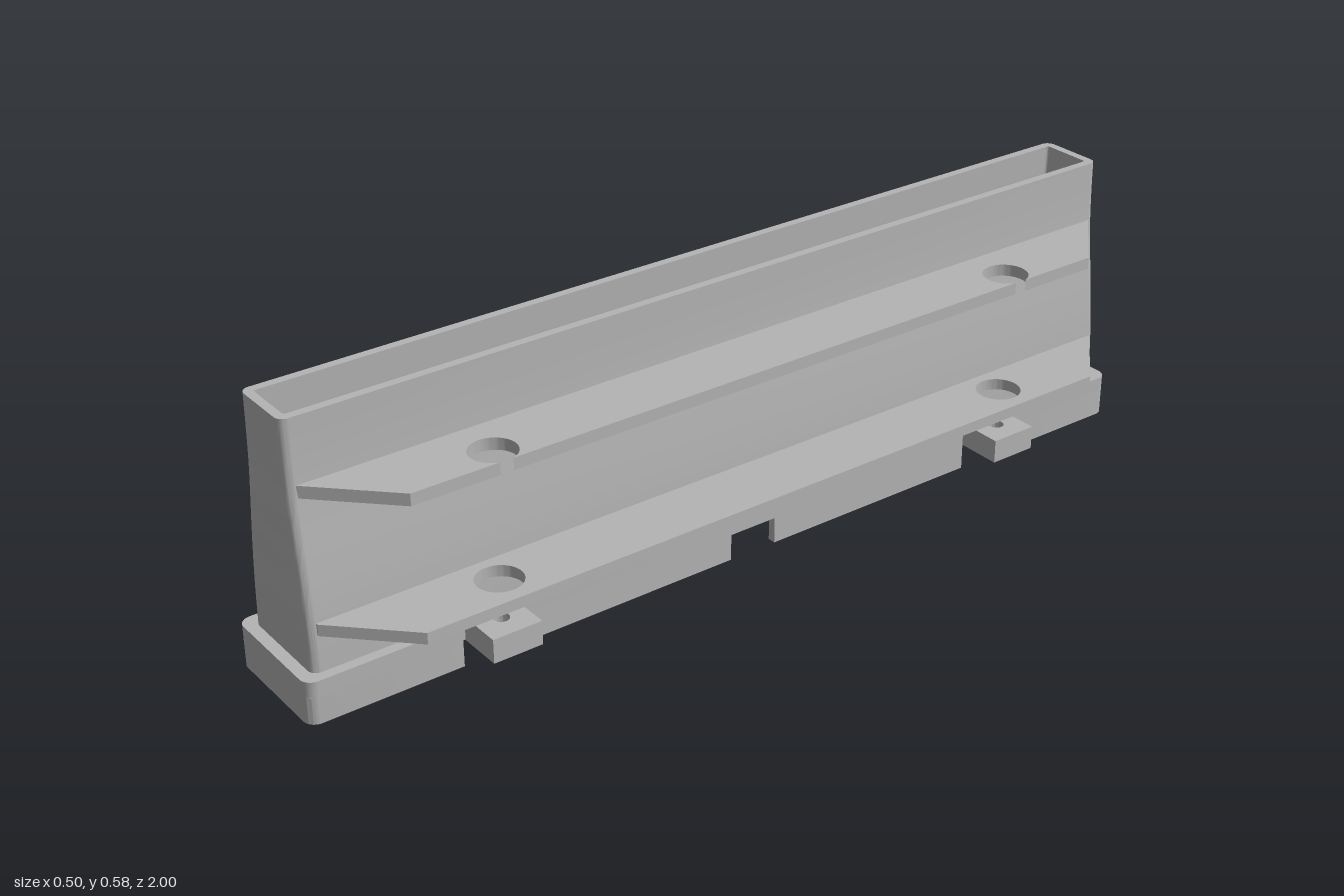
import * as THREE from 'three';
import { toCreasedNormals } from 'three/addons/utils/BufferGeometryUtils.js';

const NOTCH_TOP = 0.057, HOLE_X = 0.175, HOLE_Z = 0.62, HOLE_R = 0.047;

// Rounded rectangle in plan; short extra spans beside each corner keep the flats flat.
function ring(hx, hz, r, y) {
  const pts = [], n = 6, e = 0.001;
  const corners = [[1, 1, 0], [-1, 1, 1], [-1, -1, 2], [1, -1, 3]];
  for (const [sx, sz, q] of corners) {
    const cx = sx * (hx - r), cz = sz * (hz - r), a0 = q * Math.PI / 2, a1 = a0 + Math.PI / 2;
    const at = a => [cx + r * Math.cos(a), y, cz + r * Math.sin(a)];
    const s = at(a0), t = at(a1);
    pts.push([s[0] + e * Math.sin(a0), y, s[2] - e * Math.cos(a0)]);
    for (let i = 0; i <= n; i++) pts.push(at(a0 + (i / n) * Math.PI / 2));
    pts.push([t[0] - e * Math.sin(a1), y, t[2] + e * Math.cos(a1)]);
  }
  return pts;
}

// Skin a closed chain of rings.
function loft(rings) {
  const n = rings[0].length, index = [];
  rings.forEach((_, k) => {
    const a = k * n, b = ((k + 1) % rings.length) * n;
    for (let i = 0; i < n; i++) {
      const j = (i + 1) % n;
      index.push(a + i, b + i, a + j, a + j, b + i, b + j);
    }
  });
  const g = new THREE.BufferGeometry();
  g.setAttribute('position', new THREE.Float32BufferAttribute(rings.flat(2), 3));
  g.setIndex(index);
  return toCreasedNormals(g, 0.45);
}

// Extrude a plan outline upward from y0 to y1.
function slab(shape, y0, y1) {
  const g = new THREE.ExtrudeGeometry(shape, { depth: y1 - y0, bevelEnabled: false, curveSegments: 24 });
  g.rotateX(-Math.PI / 2).translate(0, y0, 0);
  return toCreasedNormals(g, 0.45);
}

function circleHole(x, y, r) {
  const p = new THREE.Path();
  p.absarc(x, y, r, 0, Math.PI * 2, true);
  return p;
}

// Side shelf with 45 degree ends; holes reaching past the edge become open notches.
function shelfShape(inner, outer, straight) {
  const end = 0.957, tip = outer - (end - straight), s = new THREE.Shape();
  const open = HOLE_X + HOLE_R > outer;
  s.moveTo(inner, -end).lineTo(tip, -end).lineTo(outer, -straight);
  for (const z of [-HOLE_Z, HOLE_Z]) {
    if (open) {
      const a = Math.acos((outer - HOLE_X) / HOLE_R);
      s.absarc(HOLE_X, z, HOLE_R, -a, a, true);
    } else s.holes.push(circleHole(HOLE_X, z, HOLE_R));
  }
  s.lineTo(outer, straight).lineTo(tip, end).lineTo(inner, end).closePath();
  return s;
}

// U-shaped plan of the foot wall at one end.
function footEndShape() {
  const s = new THREE.Shape(), z0 = 0.678, x = 0.132, r = 0.025, xi = 0.114, zi = 0.982, ri = 0.008;
  s.moveTo(x, z0).lineTo(x, 1 - r);
  s.absarc(x - r, 1 - r, r, 0, Math.PI / 2, false);
  s.absarc(-x + r, 1 - r, r, Math.PI / 2, Math.PI, false);
  s.lineTo(-x, z0).lineTo(-xi, z0).lineTo(-xi, zi - ri);
  s.absarc(-xi + ri, zi - ri, ri, Math.PI, Math.PI / 2, true);
  s.absarc(xi - ri, zi - ri, ri, Math.PI / 2, 0, true);
  s.lineTo(xi, z0).closePath();
  return s;
}

export function createModel() {
  const model = new THREE.Group();
  model.name = 'roadBarrier';
  const grey = new THREE.MeshStandardMaterial({ color: 0xb4b4b4 });
  grey.name = 'grey';
  const add = (parent, geometry, name) => {
    const m = new THREE.Mesh(geometry, grey);
    m.name = name;
    parent.add(m);
    return m;
  };

  // Hollow flared body, open above and below, with the upper band of the foot
  const curve = new THREE.CatmullRomCurve3([
    [0.11, 0.09], [0.108, 0.15], [0.103, 0.225], [0.094, 0.31], [0.084, 0.39],
    [0.078, 0.45], [0.0745, 0.52], [0.073, 0.585]
  ].map(([x, y]) => new THREE.Vector3(x, y, 0)));
  const profile = curve.getPoints(28);
  const t = 0.018;
  const rings = [
    ring(0.132, 1, 0.025, NOTCH_TOP),
    ring(0.132, 1, 0.025, 0.09),
    ...profile.map(p => ring(p.x, 0.975, 0.018, p.y)),
    ...profile.slice().reverse().map(p => ring(p.x - t, 0.975 - t, 0.006, p.y)),
    ring(0.092, 0.957, 0.006, 0.072),
    ring(0.114, 0.982, 0.008, 0.072),
    ring(0.114, 0.982, 0.008, NOTCH_TOP)
  ];
  add(model, loft(rings), 'body');

  // Each half: two shelves, two drilled lugs, foot walls between notches
  for (const turn of [0, Math.PI]) {
    const half = new THREE.Group();
    half.name = turn ? 'rightHalf' : 'leftHalf';
    half.rotation.y = turn;
    model.add(half);

    add(half, slab(shelfShape(0.097, 0.25, 0.817), 0.166, 0.19), 'lowerShelf');
    add(half, slab(shelfShape(0.07, 0.22, 0.815), 0.431, 0.456), 'upperShelf');
    add(half, slab(footEndShape(), 0, NOTCH_TOP), 'footEnd');

    for (const s of [-1, 1]) {
      const lug = new THREE.Shape();
      const z = s * HOLE_Z;
      lug.moveTo(0.1, z - 0.053).lineTo(0.23, z - 0.053).lineTo(0.23, z + 0.053).lineTo(0.1, z + 0.053).closePath();
      lug.holes.push(circleHole(HOLE_X, z, 0.016));
      add(half, slab(lug, 0.056, 0.107), 'lug');

      const wall = new THREE.BoxGeometry(0.018, NOTCH_TOP, 0.512);
      add(half, wall, 'footWall').position.set(0.123, NOTCH_TOP / 2, s * 0.311);
    }
  }
  return model;
}
